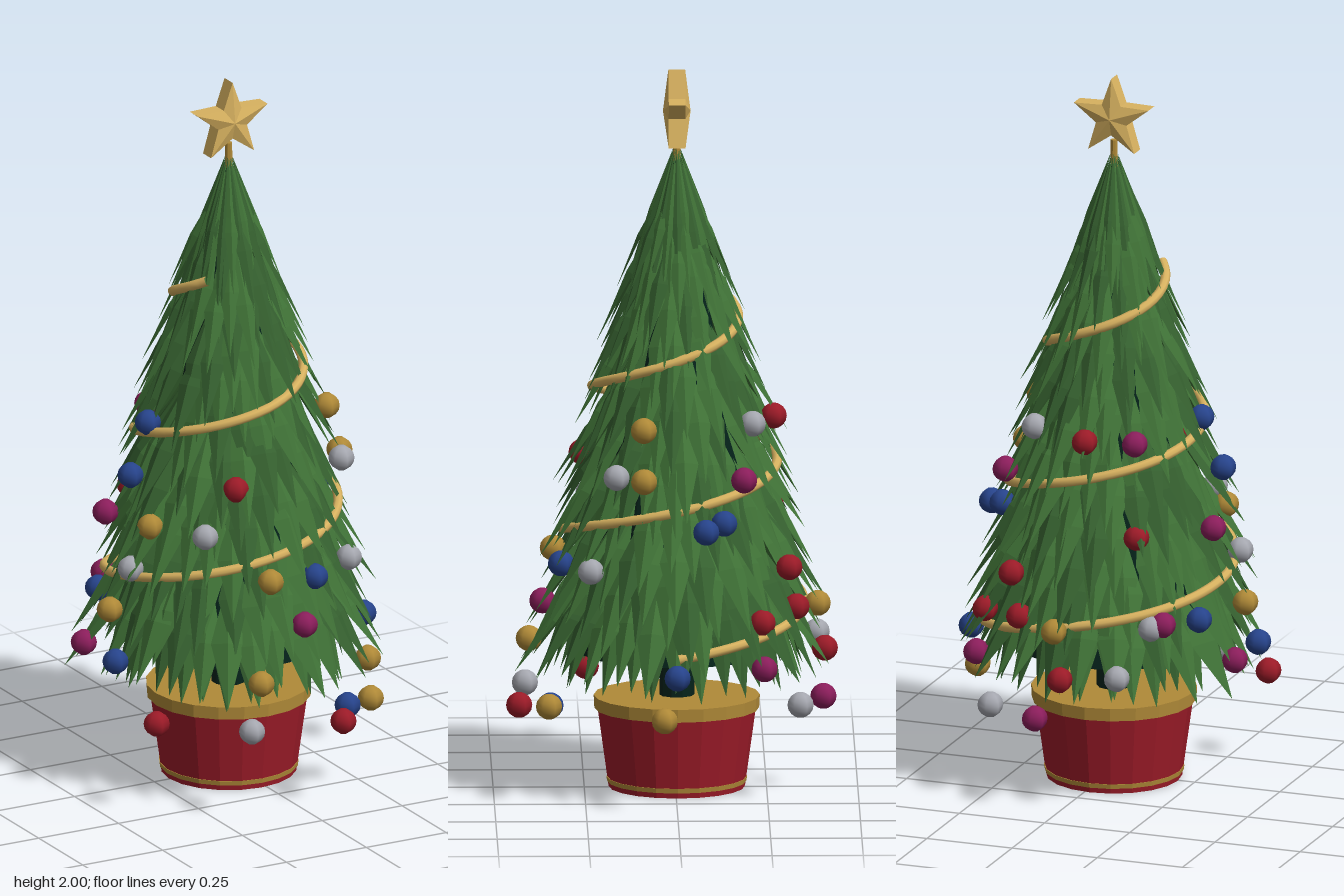
import * as THREE from 'three';

const mat = (name, color) => {
  const m = new THREE.MeshStandardMaterial({ color });
  m.name = name;
  return m;
};

// Small seeded generator for the irregular needles
let seed = 7;
const rand = () => (seed = (seed * 16807) % 2147483647) / 2147483647;
const jitter = (a) => (rand() - 0.5) * 2 * a;

// Linear lookup of a radius at height y
function radiusAt(profile, y) {
  for (let i = 1; i < profile.length; i++) {
    const [y0, r0] = profile[i - 1], [y1, r1] = profile[i];
    if (y <= y1) return r0 + ((r1 - r0) * Math.max(0, y - y0)) / (y1 - y0);
  }
  return profile[profile.length - 1][1];
}
const TIPS = [[0.33, 0.42], [0.6, 0.37], [0.8, 0.33], [1.0, 0.28], [1.2, 0.222], [1.4, 0.155], [1.6, 0.07], [1.78, 0.012]];
const CORE = [[0.38, 0.27], [1.76, 0.008]];
const GARLAND = [[0.42, 0.36], [0.52, 0.348], [0.62, 0.338], [0.72, 0.313], [0.92, 0.275], [1.02, 0.253], [1.12, 0.232], [1.22, 0.19], [1.32, 0.168], [1.46, 0.137]];

// One pointed, ridged blade hanging from root to tip
function addBlade(out, angle, rootR, rootY, tipR, tipY, half) {
  const c = Math.cos(angle), s = Math.sin(angle);
  const at = (r, y, side) => [c * r - s * side, y, s * r + c * side];
  const t = 0.5, mr = rootR + (tipR - rootR) * t, my = rootY + (tipY - rootY) * t;
  const root = at(rootR, rootY, 0), tip = at(tipR, tipY, 0);
  const L = at(mr, my, half), R = at(mr, my, -half);
  const ridge = at(mr + half * 0.4, my + half * 0.2, 0);
  for (const f of [[root, L, ridge], [L, tip, ridge], [tip, R, ridge], [R, root, ridge], [root, R, L], [tip, L, R]])
    for (const p of f) out.push(...p);
}

function fromPositions(pos) {
  const g = new THREE.BufferGeometry();
  g.setAttribute('position', new THREE.Float32BufferAttribute(pos, 3));
  g.computeVertexNormals();
  return g;
}

// Cylinder with flat facets
function faceted(...args) {
  const g = new THREE.CylinderGeometry(...args).toNonIndexed();
  g.computeVertexNormals();
  return g;
}

// Five-pointed star with a raised centre on both sides
function starGeometry() {
  const pos = [], rim = [], h = 0.023, peak = 0.038;
  for (let i = 0; i < 10; i++) {
    const a = Math.PI / 2 + (i * Math.PI) / 5, r = i % 2 ? 0.047 : 0.115;
    rim.push([Math.cos(a) * r, Math.sin(a) * r]);
  }
  rim.forEach(([x, y], i) => {
    const [u, v] = rim[(i + 1) % 10];
    pos.push(0, 0, peak, x, y, h, u, v, h);
    pos.push(0, 0, -peak, u, v, -h, x, y, -h);
    pos.push(x, y, h, x, y, -h, u, v, -h, x, y, h, u, v, -h, u, v, h);
  });
  return fromPositions(pos);
}

export function createModel() {
  const model = new THREE.Group();
  model.name = 'decoratedTree';
  const tree = new THREE.Group();
  tree.name = 'tree';
  tree.position.set(-0.015, 0, -0.004);
  model.add(tree);

  const red = mat('red', 0x9c1b28), gold = mat('gold', 0xb08a38), tinsel = mat('tinsel', 0xd8b260);
  const leaf = mat('leaf', 0x3f7136), leafDark = mat('darkLeaf', 0x35602f), shade = mat('shade', 0x05221a);
  const blue = mat('blue', 0x27448c), magenta = mat('magenta', 0x8c1e5c), silver = mat('silver', 0xa6a8b0);

  const add = (name, geometry, material, y = 0, parent = tree) => {
    const m = new THREE.Mesh(geometry, material);
    m.name = name;
    m.position.y = y;
    parent.add(m);
    return m;
  };

  // Pot, rim and base band
  add('pot', faceted(0.218, 0.187, 0.225, 20), red, 0.1125);
  add('potRim', faceted(0.228, 0.226, 0.036, 20), gold, 0.237);
  add('potBand', faceted(0.193, 0.191, 0.013, 20), gold, 0.021);

  // Trunk, dark inner cone and tip stem
  add('trunk', faceted(0.048, 0.048, 0.2, 10), shade, 0.33);
  add('innerCone', faceted(0.008, 0.27, 1.38, 20), shade, 1.07);
  add('stem', faceted(0.01, 0.012, 0.13, 8), gold, 1.755);

  // Foliage: overlapping rings of splayed blades from the skirt up to the peak
  const light = [], dark = [];
  const pick = () => (rand() < 0.6 ? light : dark);
  const layers = 12;
  for (let i = 0; i < layers; i++) {
    const k = i / (layers - 1), n = Math.round(30 - 12 * k);
    for (let j = 0; j < n; j++) {
      const angle = ((j + (i % 2) * 0.5 + jitter(0.25)) / n) * Math.PI * 2;
      const tipY = 0.335 + 1.06 * k + jitter(0.035);
      const rootY = Math.min(1.77, tipY + 0.3 + jitter(0.03));
      const rootR = radiusAt(CORE, rootY) + 0.008;
      const tipR = radiusAt(TIPS, tipY) * (1 + jitter(0.08));
      addBlade(pick(), angle, rootR, rootY, tipR, tipY, (Math.PI * (rootR + tipR) * 0.66) / n);
    }
  }
  // Steeper inner skirt closing the lower edge around the cone
  for (let j = 0; j < 30; j++)
    addBlade(pick(), ((j + jitter(0.2)) / 30) * Math.PI * 2, 0.235, 0.62, 0.345 + jitter(0.03), 0.305 + jitter(0.02), 0.042);
  // Long narrow blades wrapping the peak
  for (let j = 0; j < 22; j++) {
    const tipY = 1.38 + jitter(0.09);
    addBlade(j % 2 ? light : dark, (j / 22) * Math.PI * 2, 0.01, 1.78, radiusAt(TIPS, tipY) * 0.92, tipY, 0.017);
  }
  add('foliage', fromPositions(light), leaf);
  add('foliageDark', fromPositions(dark), leafDark);

  // Spiral garland climbing the tree
  const path = [];
  for (let i = 0; i <= 52; i++) {
    const turn = i / 20, a = turn * Math.PI * 2, y = 0.42 + 0.4 * turn, r = radiusAt(GARLAND, y);
    path.push(new THREE.Vector3(Math.cos(a) * r, y, -Math.sin(a) * r));
  }
  add('garland', new THREE.TubeGeometry(new THREE.CatmullRomCurve3(path), 160, 0.0135, 8), tinsel);

  // Star
  add('star', starGeometry(), tinsel, 1.885);

  // Baubles: x, y, z for each colour
  const baubles = [
    ['redBauble', red, [[-0.01, 0.385, -0.41], [0.14, 0.53, -0.33], [0.17, 0.645, -0.31], [-0.03, 1.03, -0.27], [-0.18, 0.77, -0.265],
      [0.275, 0.51, -0.235], [-0.375, 0.265, 0.24], [-0.135, 0.91, 0.255], [0.105, 0.25, 0.43]]],
    ['magentaBauble', magenta, [[0.065, 0.265, -0.405], [-0.26, 0.53, -0.27], [-0.155, 1.02, -0.212], [0.3, 0.385, -0.24],
      [0.235, 0.9, -0.185], [-0.41, 0.4, -0.11], [-0.345, 0.77, -0.105], [0.02, 0.525, 0.365]]],
    ['silverBauble', silver, [[-0.17, 0.4, -0.39], [-0.23, 0.52, -0.285], [0.22, 0.27, -0.34], [0.14, 1.04, -0.21], [-0.36, 0.66, 0.065],
      [-0.22, 0.78, 0.235], [0.245, 0.91, 0.165], [0.23, 0.645, 0.235], [-0.17, 0.26, 0.41]]],
    ['goldBauble', gold, [[0.015, 0.515, -0.39], [-0.395, 0.53, 0.01], [-0.31, 0.78, 0.085], [0.4, 0.26, 0.035], [0.24, 1.04, 0.09],
      [0.28, 0.905, 0.09], [-0.07, 0.655, 0.335], [-0.135, 0.39, 0.4], [0.235, 0.27, 0.35]]],
    ['blueBauble', blue, [[-0.33, 0.525, -0.175], [0.265, 0.785, -0.13], [0.315, 0.77, -0.08], [0.405, 0.38, 0], [-0.41, 0.4, 0.07],
      [-0.33, 0.91, 0.01], [-0.27, 1.05, 0], [0.08, 0.64, 0.315], [0.165, 0.26, 0.345]]],
  ];
  const ball = new THREE.SphereGeometry(0.036, 6, 8).rotateY(Math.PI / 2);
  for (const [name, material, spots] of baubles)
    for (const p of spots) add(name, ball, material, 0, model).position.set(...p);

  return model;
}
